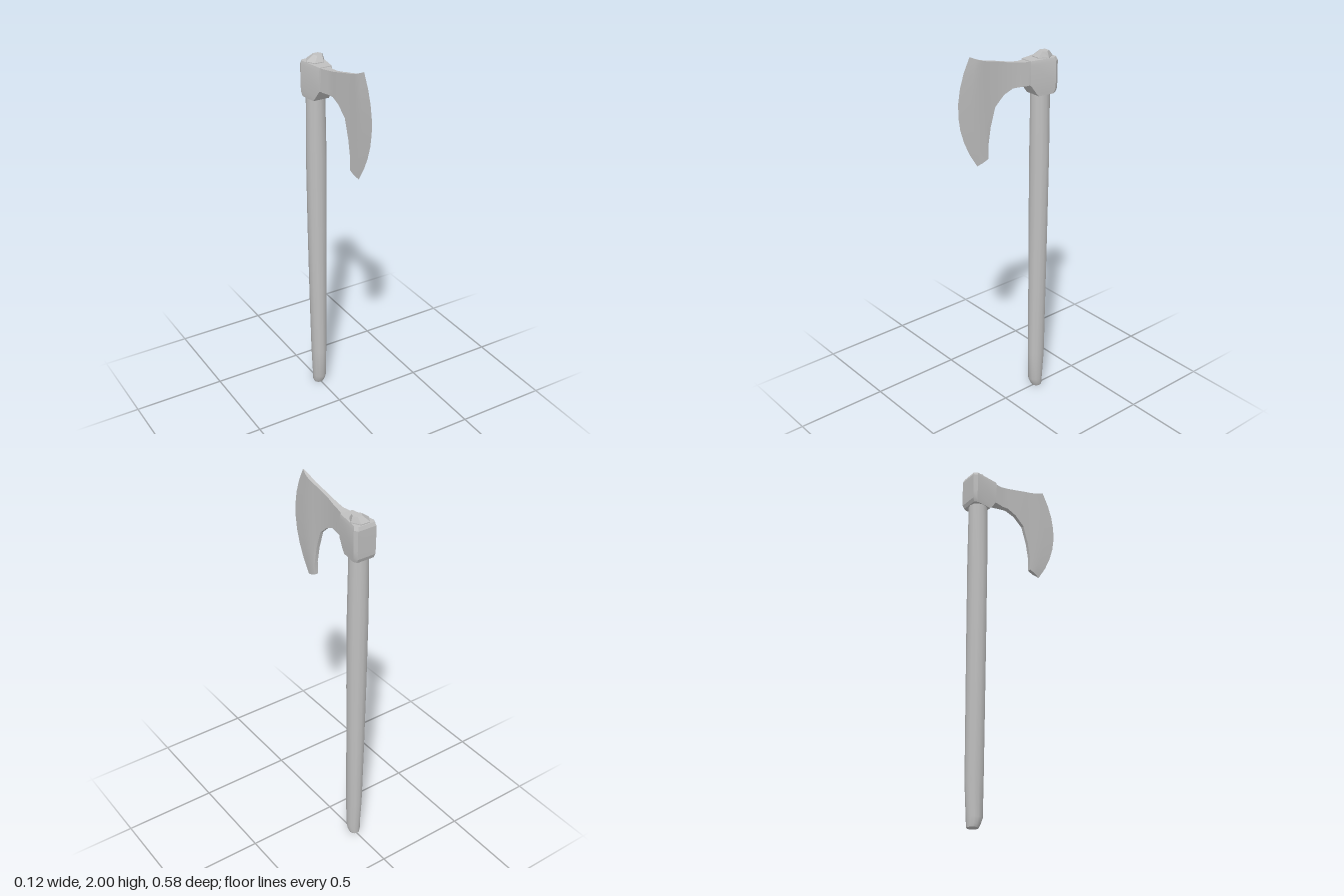
import * as THREE from 'three';
import { toCreasedNormals } from 'three/addons/utils/BufferGeometryUtils.js';

// Skin a series of closed rings of [x, y, z] points, with fan caps at both ends
function loft(rings, crease) {
  const pos = [];
  const tri = (a, b, c) => pos.push(...a, ...b, ...c);
  const n = rings[0].length;
  const centre = (ring) => [0, 1, 2].map((k) => ring.reduce((s, p) => s + p[k], 0) / n);
  for (let i = 0; i < rings.length - 1; i++) {
    for (let j = 0; j < n; j++) {
      const k = (j + 1) % n, lo = rings[i], hi = rings[i + 1];
      tri(lo[j], hi[j], hi[k]);
      tri(lo[j], hi[k], lo[k]);
    }
  }
  const first = rings[0], last = rings[rings.length - 1];
  const c0 = centre(first), c1 = centre(last);
  for (let j = 0; j < n; j++) {
    const k = (j + 1) % n;
    tri(c0, first[j], first[k]);
    tri(c1, last[k], last[j]);
  }
  const g = new THREE.BufferGeometry();
  g.setAttribute('position', new THREE.Float32BufferAttribute(pos, 3));
  return toCreasedNormals(g, crease);
}

// Horizontal oval ring: height, x centre, x radius, back z, front z
function oval([y, cx, rx, back, front], sides) {
  return Array.from({ length: sides }, (_, j) => {
    const a = (j / sides) * Math.PI * 2;
    return [cx + rx * Math.cos(a), y, (back + front) / 2 + ((front - back) / 2) * Math.sin(a)];
  });
}

// Slender shaft, slightly swollen in the upper half, chamfered foot
function handleGeometry() {
  const rows = [
    [0, -0.003, 0.028, -0.257, -0.2],
    [0.015, -0.003, 0.034, -0.258, -0.192],
    [0.05, -0.002, 0.036, -0.26, -0.177],
    [0.22, -0.002, 0.04, -0.27, -0.175],
    [0.6, -0.003, 0.046, -0.272, -0.175],
    [1.0, -0.003, 0.051, -0.274, -0.174],
    [1.4, -0.003, 0.053, -0.276, -0.173],
    [1.78, -0.003, 0.047, -0.276, -0.174],
  ];
  return loft(rows.map((r) => oval(r, 12)), 0.7);
}

// Wooden end showing above the head
function knobGeometry() {
  const rows = [
    [1.88, 0, 0.05, -0.283, -0.18],
    [1.922, 0, 0.05, -0.283, -0.18],
    [1.95, 0.014, 0.026, -0.255, -0.205],
  ];
  return loft(rows.map((r) => oval(r, 6)), 0.3);
}

// Wedge-shaped socket: wide at the back, narrowing towards the blade
function socketGeometry() {
  // height, widest half width, front half width, back z, front z
  const rows = [
    [1.735, 0.056, 0.044, -0.28, -0.175],
    [1.755, 0.06, 0.042, -0.288, -0.158],
    [1.795, 0.062, 0.037, -0.289, -0.13],
    [1.9, 0.061, 0.037, -0.289, -0.128],
    [1.918, 0.055, 0.034, -0.282, -0.13],
  ];
  return loft(rows.map(([y, w, f, back, front]) => [
    [w, y, back + 0.02], [f, y, front], [-f, y, front],
    [-w, y, back + 0.02], [-w + 0.01, y, back], [w - 0.01, y, back],
  ]), 0.35);
}

// Bearded blade: sections from the neck out to the curved cutting edge
function bladeGeometry() {
  // top z, top y, bottom z, bottom y, outward bulge, half thickness, x centre
  const rows = [
    [-0.16, 1.913, -0.16, 1.795, 0, 0.028, -0.001],
    [-0.127, 1.914, -0.116, 1.795, 0, 0.026, -0.001],
    [-0.085, 1.917, -0.075, 1.796, 0, 0.016, 0],
    [-0.037, 1.925, -0.037, 1.797, 0, 0.013, -0.002],
    [0.005, 1.935, 0.015, 1.775, 0, 0.01, -0.004],
    [0.06, 1.949, 0.07, 1.726, 0, 0.009, -0.003],
    [0.1, 1.958, 0.1, 1.63, 0, 0.009, -0.002],
    [0.125, 1.964, 0.116, 1.54, 0.004, 0.009, -0.001],
    [0.15, 1.971, 0.116, 1.473, 0.02, 0.01, 0],
    [0.185, 1.985, 0.15, 1.459, 0.05, 0.009, 0],
    [0.217, 2.0, 0.18, 1.447, 0.09, 0.0005, 0],
  ];
  const steps = 8;
  return loft(rows.map(([tz, ty, bz, by, bulge, t, cx]) => {
    const side = (sx) => Array.from({ length: steps + 1 }, (_, i) => {
      const s = i / steps;
      return [cx + sx * t, ty + (by - ty) * s, tz + (bz - tz) * s + bulge * 4 * s * (1 - s)];
    });
    return [...side(1), ...side(-1).reverse()];
  }), 0.5);
}

export function createModel() {
  const grey = new THREE.MeshStandardMaterial({ color: 0xc0c0c0 });
  grey.name = 'plain grey';
  const group = new THREE.Group();
  group.name = 'axe';
  const parts = {
    handle: handleGeometry(),
    handleTop: knobGeometry(),
    headSocket: socketGeometry(),
    blade: bladeGeometry(),
  };
  for (const [name, geometry] of Object.entries(parts)) {
    const mesh = new THREE.Mesh(geometry, grey);
    mesh.name = name;
    group.add(mesh);
  }
  return group;
}
